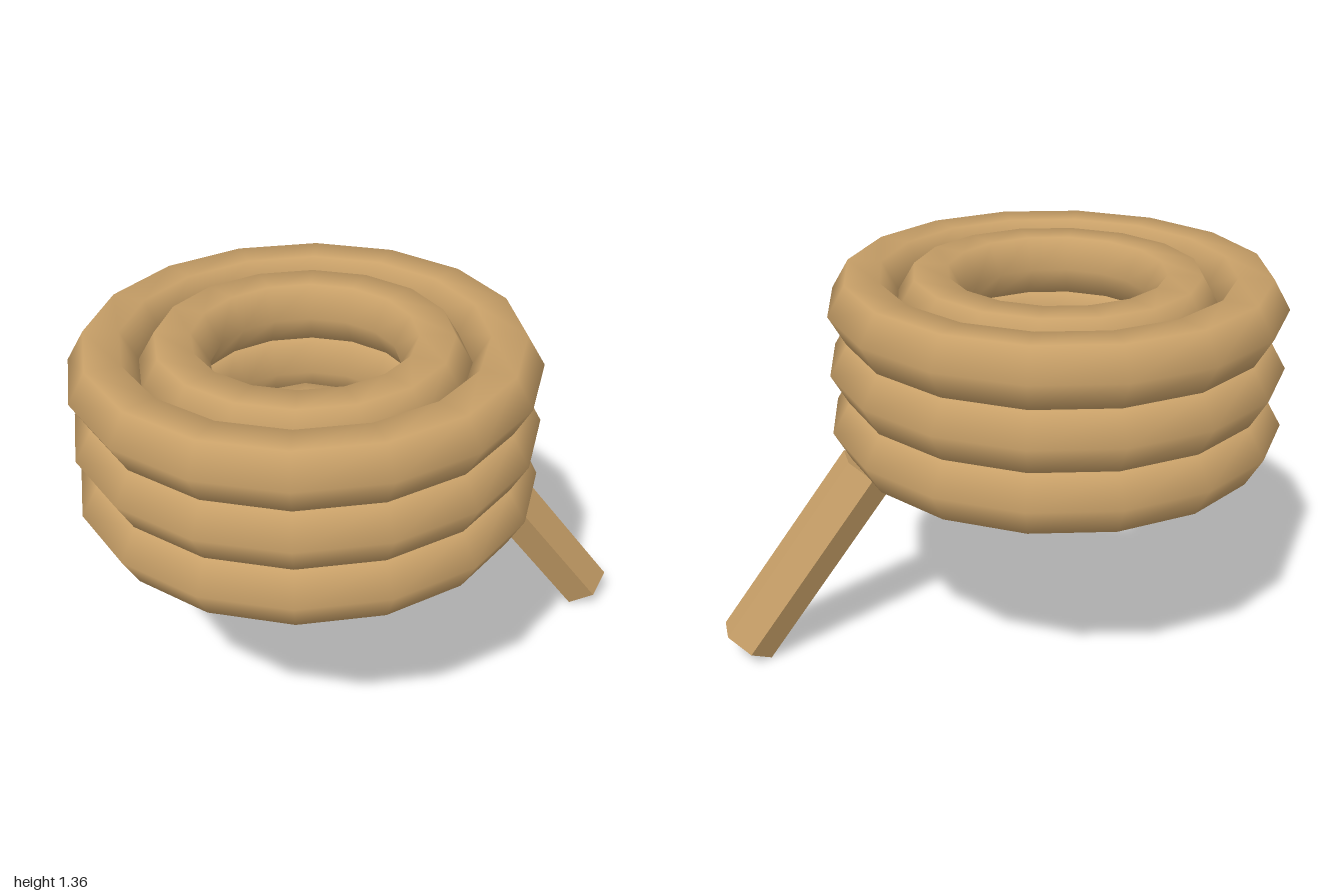
import * as THREE from 'three';

export function createModel() {
  const model = new THREE.Group();
  model.name = 'ropeCoil';
  const rope = new THREE.MeshStandardMaterial({ color: 0xc8a068 });
  rope.name = 'rope tan';

  // One horizontal loop of rope with a six-sided section
  function addLoop(name, radius, tube, segments, y) {
    const geometry = new THREE.TorusGeometry(radius, tube, 6, segments);
    geometry.rotateX(Math.PI / 2);
    const mesh = new THREE.Mesh(geometry, rope);
    mesh.name = name;
    mesh.position.set(-0.21, y, 0);
    model.add(mesh);
  }

  // Three stacked layers, each with an outer and a middle loop
  for (let i = 0; i < 3; i++) {
    const y = 0.837 + i * 0.2115;
    addLoop(`outerLoop${i + 1}`, 0.67, 0.1195, 16, y);
    addLoop(`middleLoop${i + 1}`, 0.435, 0.1195, 16, y);
  }

  // Small core loop between the two lower layers
  addLoop('coreLoop', 0.203, 0.11, 10, 0.942);

  // Loose end hanging down at a slant, with flat faces
  const end = new THREE.CylinderGeometry(0.1055, 0.1055, 0.786, 6).toNonIndexed();
  end.computeVertexNormals();
  const looseEnd = new THREE.Mesh(end, rope);
  looseEnd.name = 'looseEnd';
  looseEnd.position.set(0.695, 0.373, 0);
  looseEnd.rotation.z = Math.atan2(0.46, 0.637);
  model.add(looseEnd);

  return model;
}
